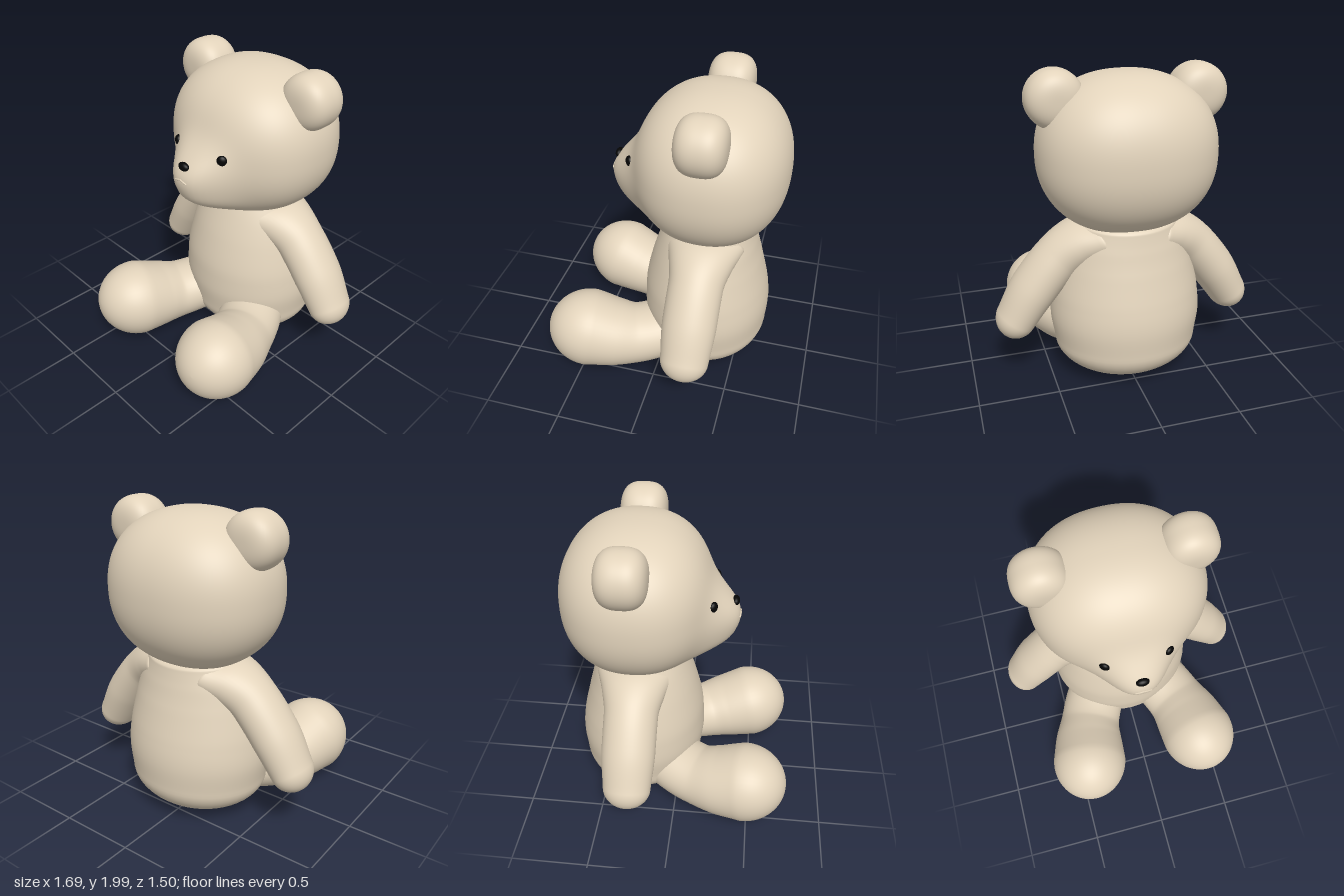
import * as THREE from 'three';

const fur = new THREE.MeshStandardMaterial({ color: 0xe2d3bb });
fur.name = 'tan fur';
const black = new THREE.MeshStandardMaterial({ color: 0x050505 });
black.name = 'black';

// Closed skin of rings; point(u, angle) gives each vertex, u runs 0..1 from pole to pole
function skin(rows, cols, point) {
  const pos = [], index = [];
  for (let i = 0; i <= rows; i++) {
    for (let j = 0; j < cols; j++) pos.push(...point(i / rows, (j / cols) * Math.PI * 2));
  }
  for (let i = 0; i < rows; i++) {
    for (let j = 0; j < cols; j++) {
      const k = (j + 1) % cols;
      const a = i * cols + j, b = i * cols + k, c = a + cols, d = b + cols;
      if (i > 0) index.push(a, b, d);
      if (i < rows - 1) index.push(a, d, c);
    }
  }
  const g = new THREE.BufferGeometry();
  g.setAttribute('position', new THREE.Float32BufferAttribute(pos, 3));
  g.setIndex(index);
  g.computeVertexNormals();
  return g;
}

// Unit direction for a ball, poles on y
function direction(u, a) {
  const lat = (u - 0.5) * Math.PI;
  return [Math.cos(lat) * Math.sin(a), Math.sin(lat), Math.cos(lat) * Math.cos(a)];
}

// Rounded swept form: sections are [x, y, z, radius across, radius along ref], with domed ends
function sweep(sections, ref, startCap, endCap) {
  const path = new THREE.CatmullRomCurve3(sections.map(s => new THREE.Vector3(s[0], s[1], s[2])));
  const radii = new THREE.CatmullRomCurve3(sections.map(s => new THREE.Vector3(s[3], s[4], 0)));
  const cap = 0.28;
  return skin(64, 48, (u, a) => {
    let t = (u - cap) / (1 - 2 * cap), shrink = 1, push = 0;
    if (t < 0) {
      const q = (1 - u / cap) * Math.PI * 0.5;
      shrink = Math.cos(q); push = -startCap * Math.sin(q);
    } else if (t > 1) {
      const q = ((u - 1 + cap) / cap) * Math.PI * 0.5;
      shrink = Math.cos(q); push = endCap * Math.sin(q);
    }
    t = Math.min(1, Math.max(0, t));
    const tangent = path.getTangent(t), r = radii.getPoint(t);
    const across = tangent.clone().cross(ref).normalize();
    const along = across.clone().cross(tangent);
    return path.getPoint(t)
      .addScaledVector(tangent, push)
      .addScaledVector(across, Math.sin(a) * r.x * shrink)
      .addScaledVector(along, Math.cos(a) * r.y * shrink)
      .toArray();
  });
}

// Head dimensions and the blunt muzzle swelling
const HEAD = { y: 1.485, z: -0.27, rx: 0.55, ry: 0.485, rz: 0.475, p: 2.25 };
function muzzle(x, y) {
  const dy = y - 1.27;
  const fall = (Math.abs(dy) / (dy > 0 ? 0.263 : 0.185)) ** 3;
  return 0.192 * Math.exp(-((Math.abs(x) / 0.21) ** 2.5) - fall);
}
function faceZ(x, y) {
  const { p } = HEAD;
  const rest = 1 - Math.abs(x / HEAD.rx) ** p - Math.abs((y - HEAD.y) / HEAD.ry) ** p;
  return HEAD.z + HEAD.rz * rest ** (1 / p) + muzzle(x, y);
}
function headGeometry() {
  return skin(80, 112, (u, a) => {
    const d = direction(u, a), { p } = HEAD;
    const k = 1 / (d.reduce((sum, c) => sum + Math.abs(c) ** p, 0) ** (1 / p));
    const x = d[0] * k * HEAD.rx, y = HEAD.y + d[1] * k * HEAD.ry;
    const front = THREE.MathUtils.smoothstep(d[2], 0, 0.55);
    return [x, y, HEAD.z + d[2] * k * HEAD.rz + front * muzzle(x, y)];
  });
}

// Ear: round from the front, flat-sided with soft edges in thickness
function earGeometry() {
  return skin(40, 56, (u, a) => {
    const d = direction(u, a), p = 2.8;
    const k = 1 / ((Math.hypot(d[0], d[1]) ** p + Math.abs(d[2]) ** p) ** (1 / p));
    return [d[0] * k * 0.175, d[1] * k * 0.175, d[2] * k * 0.15];
  });
}

export function createModel() {
  const bear = new THREE.Group();
  bear.name = 'teddyBear';
  const add = (name, geometry, material, x = 0, y = 0, z = 0) => {
    const mesh = new THREE.Mesh(geometry, material);
    mesh.name = name;
    mesh.position.set(x, y, z);
    bear.add(mesh);
    return mesh;
  };
  const up = new THREE.Vector3(0, 1, 0), forward = new THREE.Vector3(0, 0, 1);

  // Torso, from seat to neck
  add('torso', sweep([
    [0, 0.26, -0.265, 0.465, 0.412],
    [0, 0.43, -0.26, 0.488, 0.425],
    [0, 0.6, -0.252, 0.475, 0.408],
    [0, 0.8, -0.255, 0.43, 0.36],
    [0, 0.95, -0.265, 0.385, 0.315],
    [0, 1.06, -0.275, 0.33, 0.28],
  ], forward, 0.25, 0.06), fur);

  add('head', headGeometry(), fur);

  // Paired parts
  for (const [side, s] of [['left', 1], ['right', -1]]) {
    add(side + 'Ear', earGeometry(), fur, s * 0.435, 1.825, -0.28);

    // Arm, flared where it runs into the shoulder
    add(side + 'Arm', sweep([
      [s * 0.2, 0.97, -0.27, 0.13, 0.25],
      [s * 0.32, 0.92, -0.27, 0.15, 0.205],
      [s * 0.44, 0.835, -0.27, 0.15, 0.172],
      [s * 0.6, 0.645, -0.27, 0.146, 0.17],
      [s * 0.715, 0.46, -0.27, 0.127, 0.152],
    ], forward, 0.08, 0.135), fur);

    // Leg, from hidden hip to round foot
    add(side + 'Leg', sweep([
      [s * 0.17, 0.28, -0.15, 0.2, 0.18],
      [s * 0.27, 0.24, 0.02, 0.215, 0.183],
      [s * 0.335, 0.22, 0.16, 0.217, 0.197],
      [s * 0.38, 0.235, 0.3, 0.243, 0.225],
      [s * 0.415, 0.268, 0.47, 0.264, 0.26],
    ], up, 0.1, 0.285), fur);

    const eye = add(side + 'Eye', new THREE.SphereGeometry(1, 20, 14), black,
      s * 0.195, 1.515, faceZ(0.195, 1.515) - 0.006);
    eye.scale.set(0.033, 0.034, 0.022);
    eye.rotation.y = s * 0.6;

    // Half of the small curved mouth
    const lip = [0, 0.025, 0.05].map((x, i) => {
      const y = 1.372 - [0, 0.006, 0.016][i];
      return new THREE.Vector3(s * x, y, faceZ(x, y));
    });
    add(side + 'Lip', new THREE.TubeGeometry(new THREE.CatmullRomCurve3(lip), 10, 0.006, 8), fur);
  }

  // Nose
  const nose = add('nose', new THREE.SphereGeometry(1, 20, 14), black, 0, 1.45, faceZ(0, 1.45));
  nose.scale.set(0.042, 0.028, 0.025);

  return bear;
}
